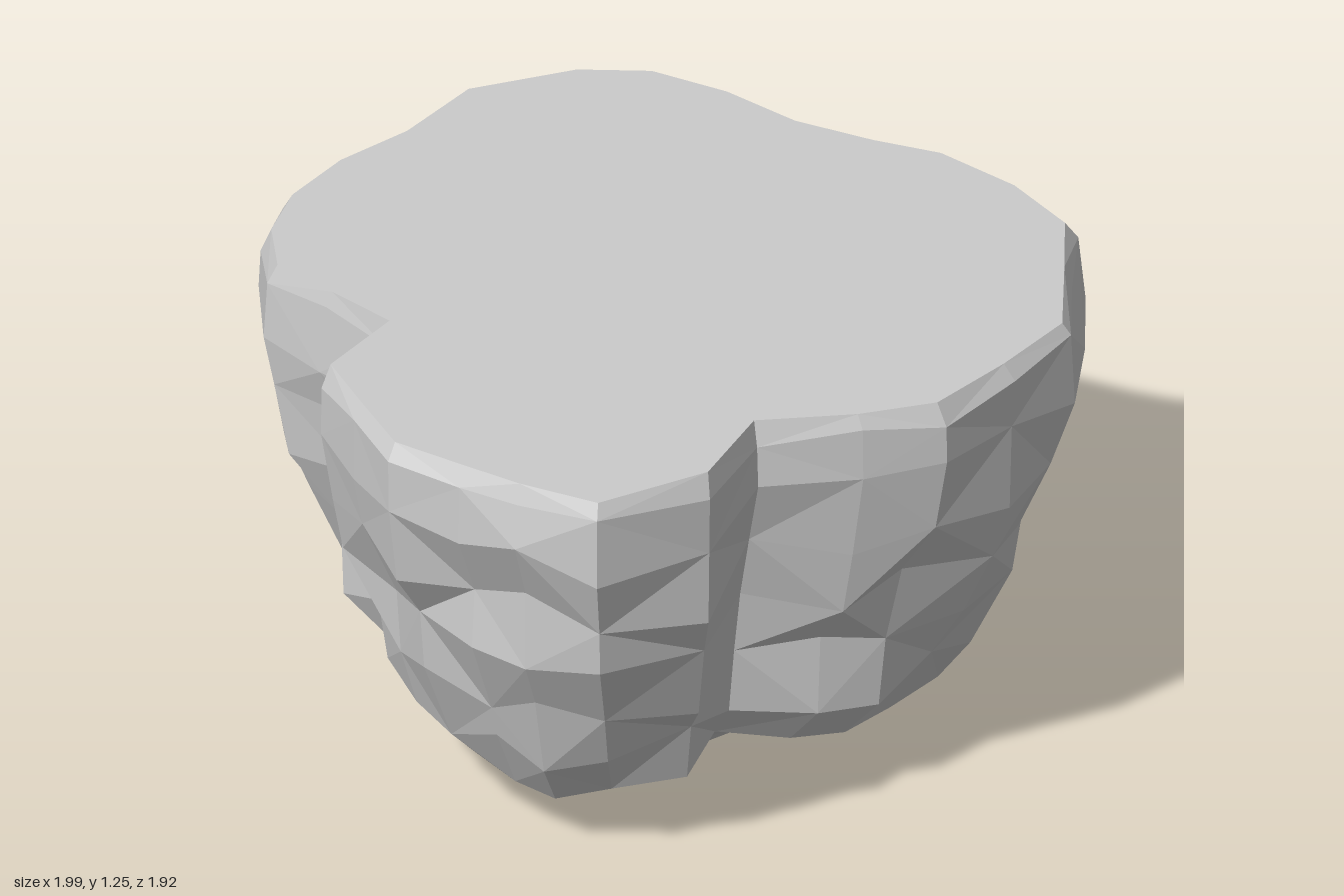
import * as THREE from 'three';

// Plan outline at the widest level (x, z), clockwise seen from above
const OUTLINE = [
  [0.25, -0.96], [0.52, -0.85], [0.66, -0.72], [0.74, -0.52], [0.78, -0.3], [0.87, -0.1],
  [0.96, 0.06], [1.0, 0.3], [0.98, 0.52], [0.84, 0.68], [0.66, 0.88], [0.42, 0.93],
  [0.17, 0.96], [-0.02, 0.87], [-0.24, 0.72], [-0.49, 0.83], [-0.8, 0.76], [-0.89, 0.56],
  [-0.94, 0.4], [-1.0, 0.2], [-0.94, 0.0], [-0.88, -0.19], [-0.63, -0.25], [-0.65, -0.45],
  [-0.67, -0.64], [-0.57, -0.78], [-0.42, -0.87], [-0.22, -0.915], [0, -0.91],
];
const NOTCHES = [14, 22];

// Rings from rim to underside: height, scale, roundness, radial jitter, height jitter
const RINGS = [
  [1.25, 0.965, 0, 0, 0],
  [1.2, 0.99, 0, 0.01, 0.02],
  [1.05, 1.0, 0, 0.02, 0.04],
  [0.86, 0.955, 0, 0.05, 0.05],
  [0.68, 0.9, 0, 0.06, 0.05],
  [0.5, 0.835, 0, 0.06, 0.05],
  [0.33, 0.765, 0, 0.05, 0.04],
  [0.17, 0.68, 0.1, 0.04, 0.03],
  [0.1, 0.48, 0.5, 0.06, 0.03],
  [0.03, 0.33, 0.8, 0.04, 0.02],
  [0.015, 0.16, 1, 0.02, 0.015],
];

function seeded(seed) {
  return () => {
    seed = (seed * 16807) % 2147483647;
    return seed / 2147483647;
  };
}

function rockRings() {
  const rand = seeded(4217);
  return RINGS.map(([y, scale, round, jr, jy], k) =>
    OUTLINE.map(([x, z], i) => {
      const r = Math.hypot(x, z);
      let s = scale * THREE.MathUtils.lerp(1, 0.9 / r, round);
      // the two clefts cut a little deeper halfway down
      if (NOTCHES.includes(i) && k > 2 && k < 8) s *= 0.95;
      s += (rand() - 0.6) * jr * 1.6;
      const dy = (rand() - 0.5) * 2 * jy;
      return new THREE.Vector3(
        x * s + 0.03 * round,
        Math.max(0, y + dy),
        z * s - 0.06 * round,
      );
    }));
}

// Flat-faced surface from a list of triangles
function facetMesh(name, triangles) {
  const geometry = new THREE.BufferGeometry().setFromPoints(triangles.flat());
  geometry.computeVertexNormals();
  const material = new THREE.MeshStandardMaterial({ color: 0xcccccc, flatShading: true });
  const mesh = new THREE.Mesh(geometry, material);
  mesh.name = name;
  return mesh;
}

export function createModel() {
  const group = new THREE.Group();
  group.name = 'rockIsland';
  const rings = rockRings();
  const count = OUTLINE.length;
  const last = rings.length - 1;
  const topCentre = new THREE.Vector3(0, 1.25, 0);
  const baseCentre = new THREE.Vector3(0.03, 0, -0.06);
  const plateau = [], cliff = [], underside = [];

  for (let i = 0; i < count; i++) {
    const n = (i + 1) % count;
    plateau.push([topCentre, rings[0][n], rings[0][i]]);
    for (let k = 0; k < last; k++) {
      const a = rings[k][i], b = rings[k][n], c = rings[k + 1][i], d = rings[k + 1][n];
      const target = k < 7 ? cliff : underside;
      // alternate the diagonals for a broken, chipped surface
      if ((i + k) % 2) target.push([a, b, d], [a, d, c]);
      else target.push([a, b, c], [b, d, c]);
    }
    underside.push([baseCentre, rings[last][i], rings[last][n]]);
  }

  group.add(
    facetMesh('plateau', plateau),
    facetMesh('cliff', cliff),
    facetMesh('underside', underside),
  );
  return group;
}
